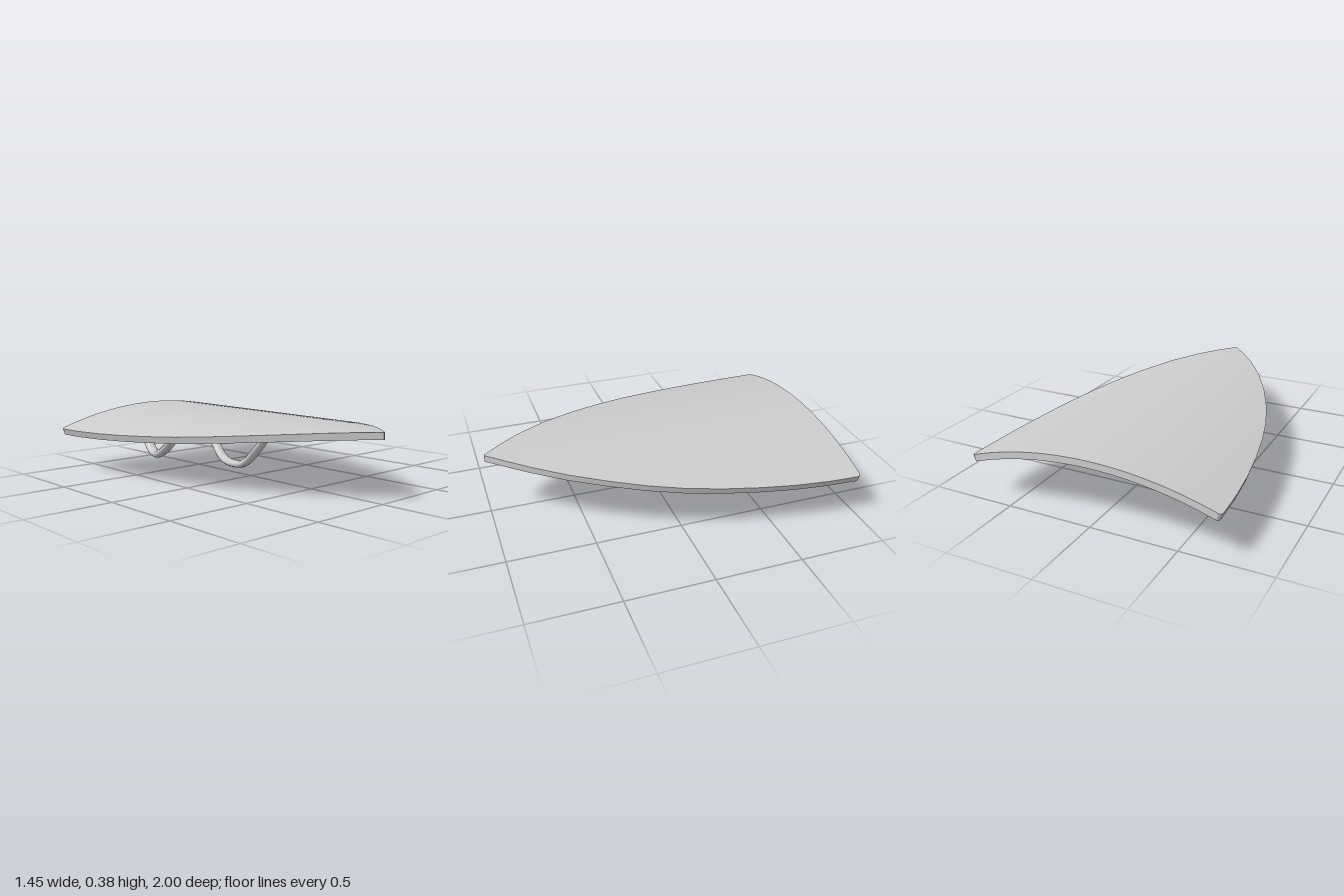
import * as THREE from 'three';

const R = 2.22;          // bend radius of the outer face
const THICK = 0.04;
const TOP = 0.385;

// Outline as [z, half width], from the straight back edge to the pointed tip
const OUTLINE = [
  [-1, 0.708], [-0.995, 0.718], [-0.98, 0.724], [-0.8, 0.717], [-0.6, 0.699], [-0.4, 0.67],
  [-0.2, 0.632], [0, 0.582], [0.2, 0.513], [0.4, 0.425], [0.6, 0.318],
  [0.78, 0.195], [0.9, 0.095], [0.98, 0.022], [1, 0.004],
];
const ROWS = OUTLINE.length - 1;

// Point on the bent board: u across (-1..1), row along, depth below the outer face
function boardPoint(u, row, depth) {
  const [z, w] = OUTLINE[row];
  const a = u * Math.asin(w / R);
  return [(R - depth) * Math.sin(a), TOP - R + (R - depth) * Math.cos(a), z];
}

// Grid whose vertices are placed by fn(column, row)
function sheet(cols, rows, fn) {
  const geo = new THREE.PlaneGeometry(1, 1, cols, rows);
  for (let j = 0, k = 0; j <= rows; j++)
    for (let i = 0; i <= cols; i++, k++) geo.attributes.position.setXYZ(k, ...fn(i, j));
  geo.computeVertexNormals();
  return geo;
}

export function createModel() {
  const group = new THREE.Group();
  const grey = new THREE.MeshStandardMaterial({ color: 0xcccccc });
  grey.name = 'light grey';

  const add = (name, geo, parent = group) => {
    const mesh = new THREE.Mesh(geo, grey);
    mesh.name = name;
    parent.add(mesh);
    return mesh;
  };

  // Curved board: two faces and the rim around them
  const board = new THREE.Group();
  board.name = 'shieldBoard';
  group.add(board);
  const N = 28;
  const across = (i) => (2 * i) / N - 1;
  add('outerFace', sheet(N, ROWS, (i, j) => boardPoint(across(i), j, 0)), board);
  add('innerFace', sheet(N, ROWS, (i, j) => boardPoint(-across(i), j, THICK)), board);
  add('leftRim', sheet(ROWS, 1, (i, j) => boardPoint(1, ROWS - i, j * THICK)), board);
  add('rightRim', sheet(ROWS, 1, (i, j) => boardPoint(-1, i, j * THICK)), board);
  add('backRim', sheet(N, 1, (i, j) => boardPoint(-across(i), 0, j * THICK)), board);
  add('tipRim', sheet(1, 1, (i, j) => boardPoint(2 * i - 1, ROWS, j * THICK)), board);

  // Handle: flattened tube hung between two round pads
  const WIDEN = 1.4;
  function handle(name, points, pads) {
    const part = new THREE.Group();
    part.name = name;
    group.add(part);
    const path = new THREE.CatmullRomCurve3(
      points.map(([x, y, z]) => new THREE.Vector3(x / WIDEN, y, z)));
    const tube = new THREE.TubeGeometry(path, 24, 0.024, 12).scale(WIDEN, 1, 1);
    tube.computeVertexNormals();
    add('grip', tube, part);
    for (const [x, z, r, low, high] of pads) {
      const pad = add('mountingPad', new THREE.CylinderGeometry(r, r, high - low, 24), part);
      pad.position.set(x, (low + high) / 2, z);
    }
  }

  handle('largeHandle', [
    [0.035, 0.33, 0.15], [0.04, 0.25, 0.09], [0.05, 0.16, 0],
    [0.075, 0.055, -0.14], [0.105, 0.03, -0.28], [0.135, 0.045, -0.41],
    [0.17, 0.125, -0.53], [0.195, 0.21, -0.62], [0.21, 0.31, -0.66],
  ], [
    [0.035, 0.14, 0.075, 0.315, 0.347],
    [0.21, -0.66, 0.06, 0.287, 0.333],
  ]);

  handle('smallHandle', [
    [-0.41, 0.3, -0.22], [-0.4, 0.24, -0.26], [-0.375, 0.16, -0.38],
    [-0.335, 0.117, -0.5], [-0.305, 0.12, -0.59], [-0.275, 0.18, -0.69],
    [-0.262, 0.23, -0.75], [-0.255, 0.32, -0.79],
  ], [
    [-0.41, -0.22, 0.068, 0.285, 0.308],
    [-0.25, -0.79, 0.048, 0.315, 0.333],
  ]);

  return group;
}
